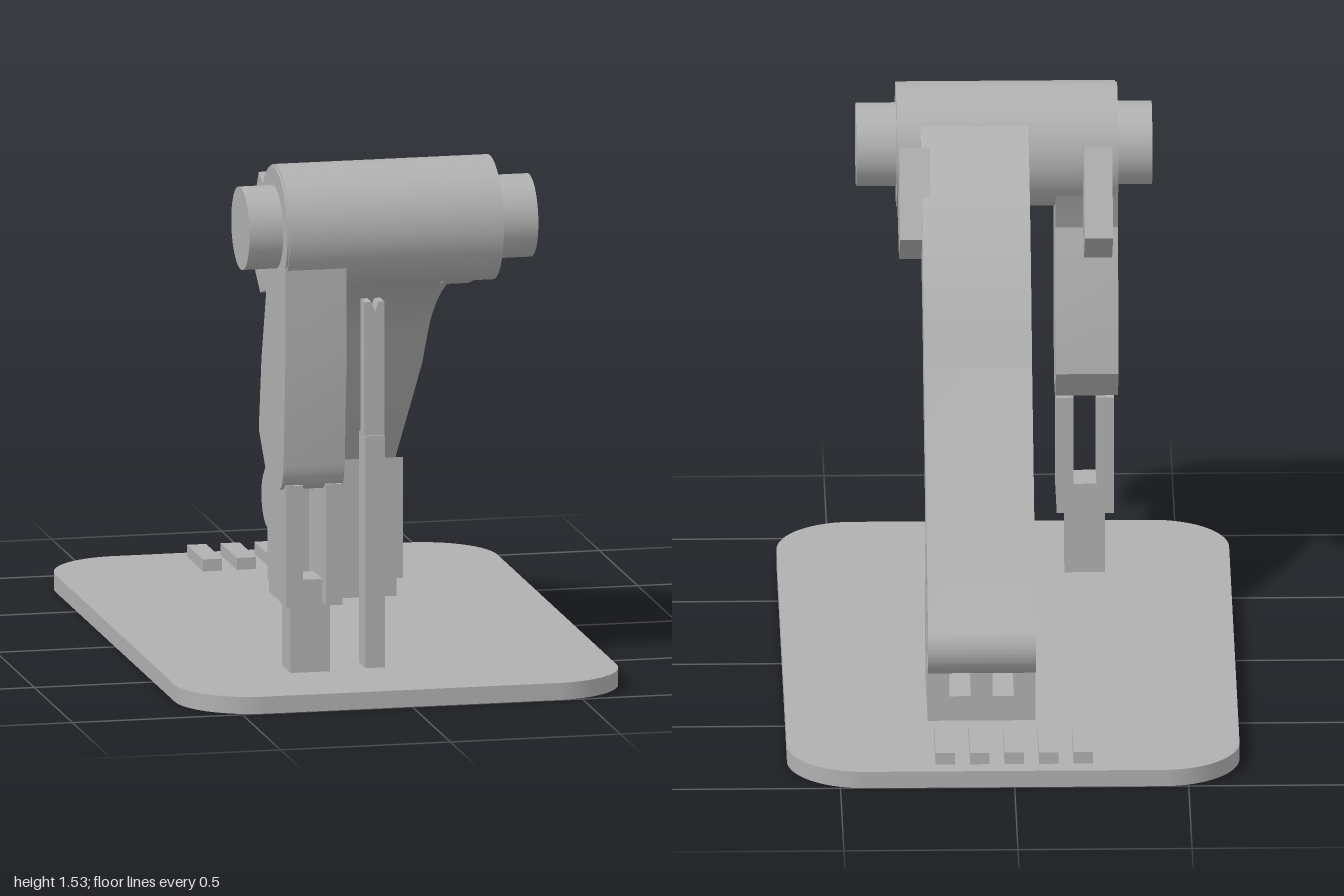
import * as THREE from 'three';
import { toCreasedNormals } from 'three/addons/utils/BufferGeometryUtils.js';

const grey = new THREE.MeshStandardMaterial({ color: 0xb0b0b0 });
grey.name = 'plain grey';

const v = (pts) => pts.map(([a, b]) => new THREE.Vector2(a, b));

export function createModel() {
  const group = new THREE.Group();

  const add = (name, geometry) => {
    const mesh = new THREE.Mesh(geometry, grey);
    mesh.name = name;
    group.add(mesh);
    return mesh;
  };

  // Box from its limits on each axis
  const box = (name, x0, x1, y0, y1, z0, z1) => {
    const g = new THREE.BoxGeometry(x1 - x0, y1 - y0, z1 - z0);
    g.translate((x0 + x1) / 2, (y0 + y1) / 2, (z0 + z1) / 2);
    return add(name, g);
  };

  // Side profile drawn as (z, y), extruded from x0 to x1
  const profile = (name, shape, x0, x1) => {
    const g = new THREE.ExtrudeGeometry(shape, { depth: x1 - x0, bevelEnabled: false, curveSegments: 24 });
    g.rotateY(-Math.PI / 2).translate(x1, 0, 0);
    return add(name, toCreasedNormals(g, 0.45));
  };

  // Cylinder lying along x on the shared hinge axis
  const hingeCylinder = (name, r, x0, x1) => {
    const g = new THREE.CylinderGeometry(r, r, x1 - x0, 64);
    g.rotateZ(Math.PI / 2).translate((x0 + x1) / 2, 1.35, 0.64);
    return add(name, g);
  };

  // Base plate with rounded corners
  const W = 0.65, L = 1, R = 0.22;
  const plate = new THREE.Shape();
  plate.absarc(W - R, L - R, R, 0, Math.PI / 2);
  plate.absarc(-W + R, L - R, R, Math.PI / 2, Math.PI);
  plate.absarc(-W + R, -L + R, R, Math.PI, Math.PI * 1.5);
  plate.absarc(W - R, -L + R, R, Math.PI * 1.5, Math.PI * 2);
  const plateGeo = new THREE.ExtrudeGeometry(plate, { depth: 0.05, bevelEnabled: false, curveSegments: 16 });
  plateGeo.rotateX(-Math.PI / 2);
  add('basePlate', toCreasedNormals(plateGeo, 0.45));

  // Row of raised bars behind the clip
  for (let i = -2; i <= 2; i++) {
    const x = i * 0.099;
    box('rearBar', x - 0.028, x + 0.028, 0.04, 0.085, -0.945, -0.735);
  }

  // Hinge barrel and the pin through it
  hingeCylinder('hingeBarrel', 0.18, -0.32, 0.31);
  hingeCylinder('hingePin', 0.12, -0.425, 0.425);

  // Curved arm reaching back to the clip
  const arm = new THREE.Shape();
  arm.moveTo(0.64, 1.4);
  arm.lineTo(0.5, 1.46);
  arm.splineThru(v([[0.39, 1.4], [0.28, 1.33], [0.14, 1.21], [0.03, 1.08], [-0.07, 0.93]]));
  arm.lineTo(-0.65, 0.345);
  arm.absarc(-0.59, 0.285, 0.085, Math.PI * 0.75, Math.PI * 1.75);
  arm.lineTo(0.05, 0.8);
  arm.splineThru(v([[0.165, 0.955], [0.3, 1.06], [0.46, 1.135], [0.61, 1.168]]));
  profile('arm', arm, -0.068, 0.242);

  // Angular lugs on both sides of the arm
  const lug = new THREE.Shape(v([[0.61, 1.35], [0.46, 1.405], [0.35, 1.45], [0.21, 1.22], [0.37, 1.1], [0.6, 1.172]]));
  profile('leftLug', lug, 0.218, 0.306);
  profile('rightLug', lug, -0.306, -0.225);

  // Hanging leg with a rounded head around the hinge
  const leg = new THREE.Shape();
  leg.moveTo(0.79, 1.26);
  leg.absarc(0.64, 1.35, 0.175, -0.54, Math.PI + 0.54);
  leg.lineTo(0.535, 1.13);
  leg.lineTo(0.475, 0.93);
  leg.lineTo(0.44, 0.715);
  leg.lineTo(0.53, 0.615);
  leg.quadraticCurveTo(0.56, 0.603, 0.62, 0.59);
  leg.lineTo(0.7, 0.59);
  leg.quadraticCurveTo(0.755, 0.6, 0.765, 0.67);
  leg.lineTo(0.79, 1.0);
  profile('hangingLeg', leg, -0.326, -0.146);

  // Fork below the leg, and the peg it straddles
  box('forkProng', -0.315, -0.265, 0.255, 0.61, 0.525, 0.75);
  box('forkProng', -0.198, -0.15, 0.255, 0.61, 0.525, 0.75);
  box('forkPeg', -0.29, -0.174, 0.04, 0.322, 0.585, 0.697);

  // Upright post: thick lower half, thin upper half with a notched tip
  box('postLower', -0.066, -0.008, 0.04, 0.73, 0.598, 0.678);
  const tip = new THREE.Shape(v([[-0.066, 0.72], [-0.008, 0.72], [-0.008, 1.122], [-0.026, 1.122],
    [-0.036, 1.092], [-0.046, 1.122], [-0.066, 1.122]]));
  const tipGeo = new THREE.ExtrudeGeometry(tip, { depth: 0.055, bevelEnabled: false });
  tipGeo.translate(0, 0, 0.615);
  add('postUpper', tipGeo);

  // Rear clip: a low block carrying three sloped ribs
  box('clipBlock', -0.068, 0.242, 0.04, 0.125, -0.595, -0.285);
  const rib = new THREE.Shape();
  rib.moveTo(-0.2, 0.475);
  rib.lineTo(-0.48, 0.21);
  rib.quadraticCurveTo(-0.53, 0.165, -0.595, 0.2);
  rib.lineTo(-0.595, 0.12);
  rib.lineTo(-0.2, 0.12);
  for (const x of [-0.068, 0.056, 0.18]) profile('clipRib', rib, x, x + 0.062);

  return group;
}
